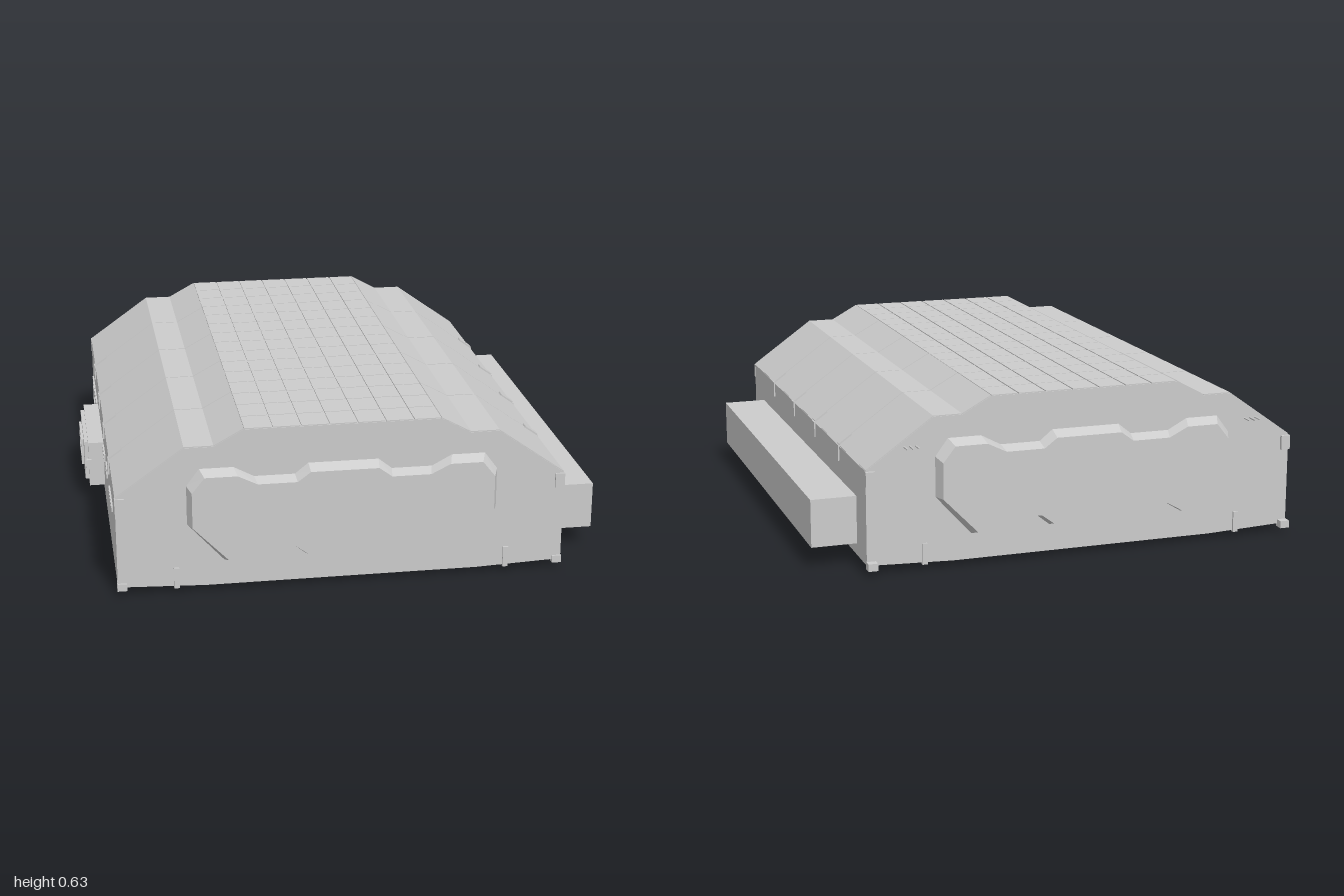
import * as THREE from 'three';

const MID = -0.042;   // centre line of the hull
const Z0 = -0.955, Z1 = 0.96;
const SEAMS = [Z0, -0.56, -0.18, 0.18, 0.56, Z1];
const mat = new THREE.MeshStandardMaterial({ color: 0xcccccc, flatShading: true });

export function createModel() {
  const root = new THREE.Group();

  const add = (name, geo, parent = root) => {
    const m = new THREE.Mesh(geo, mat);
    m.name = name;
    parent.add(m);
    return m;
  };
  // Box given by its limits on each axis
  const box = (name, x0, x1, y0, y1, z0, z1, parent = root) => {
    const m = add(name, new THREE.BoxGeometry(x1 - x0, y1 - y0, z1 - z0), parent);
    m.position.set((x0 + x1) / 2, (y0 + y1) / 2, (z0 + z1) / 2);
    return m;
  };
  const group = (name) => {
    const g = new THREE.Group();
    g.name = name;
    root.add(g);
    return g;
  };

  // Hull: half profile mirrored about the centre line, extruded front to back
  const half = [[0.365, 0.63], [0.475, 0.57], [0.583, 0.57], [0.836, 0.39]];
  const drop = 0.004;
  const right = [...half.map(([x, y]) => [x, y - drop]), [0.836, 0.035], [0.51, 0.022]];
  const outline = [...right, ...right.map(([x, y]) => [-x, y]).reverse()];
  const hullShape = new THREE.Shape(outline.map(([x, y]) => new THREE.Vector2(x + MID, y)));
  const hull = add('hull', new THREE.ExtrudeGeometry(hullShape, { depth: Z1 - Z0, bevelEnabled: false }));
  hull.position.z = Z0;

  // Thin panels laid on one facet of the profile, split by narrow seams
  const panels = (name, a, b, across, zs) => {
    const g = group(name);
    const dx = b[0] - a[0], dy = b[1] - a[1];
    const len = Math.hypot(dx, dy), ang = Math.atan2(dy, dx);
    const gap = 0.005, thick = 0.006;
    for (let i = 0; i < across; i++) {
      for (let k = 0; k + 1 < zs.length; k++) {
        const t = (i + 0.5) / across;
        const w = len / across - (across > 1 ? gap : 0);
        const m = add('panel', new THREE.BoxGeometry(w, thick, zs[k + 1] - zs[k] - gap), g);
        m.position.set(
          MID + a[0] + dx * t + Math.sin(ang) * thick / 2,
          a[1] + dy * t - Math.cos(ang) * thick / 2,
          (zs[k] + zs[k + 1]) / 2);
        m.rotation.z = ang;
      }
    }
  };
  const rows = Array.from({ length: 16 }, (_, i) => Z0 + (Z1 - Z0) * i / 15);
  panels('roofTiles', [-0.365, 0.63], [0.365, 0.63], 7, rows);
  const facetNames = ['roofBevel', 'shoulder', 'sideSlope'];
  for (let i = 0; i < 3; i++) {
    const [a, b] = [half[i], half[i + 1]];
    panels(facetNames[i], a, b, 1, SEAMS);
    panels(facetNames[i], [-b[0], b[1]], [-a[0], a[1]], 1, SEAMS);
  }

  // End plates: wavy outline tapering outward, with rectangular recesses
  const plateHalf = [
    [0.13, 0.485], [0.18, 0.445], [0.33, 0.445], [0.405, 0.485], [0.53, 0.485], [0.578, 0.42],
    [0.578, 0.27], [0.443, 0.12], [0.39, 0.125], [0.325, 0.165], [0.19, 0.165], [0.14, 0.125]];
  const endPlate = (name, holes) => {
    const pts = [...plateHalf, ...plateHalf.map(([x, y]) => [-x, y]).reverse()];
    const shape = new THREE.Shape(pts.map(([x, y]) => new THREE.Vector2(x, y)));
    for (const [x0, x1, y0, y1] of holes) {
      shape.holes.push(new THREE.Path([[x0, y0], [x0, y1], [x1, y1], [x1, y0]]
        .map(([x, y]) => new THREE.Vector2(x, y))));
    }
    const geo = new THREE.ExtrudeGeometry(shape, { depth: 0.042, bevelEnabled: false });
    const p = geo.attributes.position;
    for (let i = 0; i < p.count; i++) {
      if (p.getZ(i) > 0.02) p.setXY(i, p.getX(i) * 0.97, 0.26 + (p.getY(i) - 0.26) * 0.9);
    }
    geo.computeVertexNormals();
    const m = add(name, geo);
    m.position.set(MID, 0, Z1 - 0.002);
    return m;
  };
  endPlate('frontPlate', [[-0.335, 0.335, 0.295, 0.395]]);
  const back = endPlate('backPlate', [[-0.31, -0.12, 0.32, 0.4], [-0.045, 0.09, 0.32, 0.4], [0.145, 0.345, 0.32, 0.4]]);
  back.rotation.y = Math.PI;
  back.position.z = Z0 - 0.003;

  // Long equipment box on the left flank
  box('sideBox', 0.78, 0.965, 0.08, 0.26, -0.82, 0.785);

  // Stepped hatch on the right flank
  const hatch = group('sideHatch');
  box('hatchBase', -0.94, -0.87, 0.075, 0.26, -0.42, 0.05, hatch);
  box('hatchStep', -0.955, -0.93, 0.09, 0.25, -0.38, 0.01, hatch);
  for (const y of [0.115, 0.205]) box('hatchRail', -0.965, -0.95, y, y + 0.02, -0.31, -0.09, hatch);
  for (const z of [-0.31, -0.11]) box('hatchPost', -0.965, -0.95, 0.115, 0.225, z, z + 0.02, hatch);
  box('hatchHandle', -0.962, -0.95, 0.15, 0.185, -0.26, -0.14, hatch);
  box('hatchLatch', -0.95, -0.93, 0.15, 0.19, 0.04, 0.06, hatch);

  // Framed port bay and small ports along the right flank
  const frame = (name, y0, y1, z0, z1) => {
    const g = group(name), t = 0.008;
    for (const y of [y0, y1 - t]) box('frameRail', -0.884, -0.87, y, y + t, z0, z1, g);
    for (const z of [z0, z1 - t]) box('framePost', -0.884, -0.87, y0, y1, z, z + t, g);
    return g;
  };
  const bay = frame('portBay', 0.14, 0.25, -0.83, -0.47);
  for (let i = 0; i < 3; i++) {
    const z = -0.79 + i * 0.105;
    box('port', -0.883, -0.87, 0.175, 0.215, z, z + 0.075, bay);
  }
  frame('smallPort', 0.24, 0.27, 0.1, 0.22);
  frame('smallPort', 0.25, 0.29, 0.34, 0.42);
  frame('smallPort', 0.26, 0.285, 0.58, 0.78);

  for (const s of [-1, 1]) {
    // Clips folded over the shoulder at every seam
    for (const z of SEAMS.slice(1, -1)) {
      const x = MID + s * 0.836;
      box('clip', x - 0.005, x + 0.005, 0.33, 0.39, z - 0.018, z + 0.018);
      const fold = box('clipFold', -0.03, 0.03, -0.005, 0.005, z - 0.018, z + 0.018);
      fold.position.set(x - s * 0.025, 0.409, z);
      fold.rotation.z = -s * 0.618;
    }
    // Corner brackets, feet and end latches
    for (const [z, e] of [[Z0, -1], [Z1, 1]]) {
      const x = MID + s * 0.82;
      box('cornerBracket', x - 0.018, x + 0.018, 0.33, 0.385, z - 0.012, z + 0.008);
      box('cornerFoot', x - 0.018, x + 0.018, 0.022, 0.05, z - 0.03, z + 0.008);
      const l = MID + s * 0.62;
      box('endLatch', l - 0.01, l + 0.01, 0.02, 0.1, z - 0.008, z + 0.008);
    }
    // Cluster of rear pins
    for (let i = -1; i <= 1; i++) {
      const pin = add('rearPin', new THREE.CylinderGeometry(0.004, 0.004, 0.05, 6));
      pin.rotation.x = Math.PI / 2;
      pin.position.set(MID + s * 0.67 + i * 0.022, 0.465, Z0 - 0.02);
    }
    // Underside studs and pegs
    for (let i = 0; i < 9; i++) {
      const z = -0.8 + i * 0.2, x = MID + s * 0.6;
      box('stud', x - 0.014, x + 0.014, 0.015, 0.035, z - 0.014, z + 0.014);
    }
    const peg = add('peg', new THREE.CylinderGeometry(0.005, 0.005, 0.03, 8));
    peg.position.set(MID + s * 0.51, 0.015, -0.55);
  }

  // Underside: thin plate edges and cross ribs
  const under = group('underside');
  for (const s of [-1, 1]) {
    for (const e of [-1, 1]) {
      box('longRib', MID + s * 0.47 - 0.01, MID + s * 0.47 + 0.01, 0.014, 0.026,
        e * 0.55 - 0.28, e * 0.55 + 0.28, under);
      const diag = box('diagonalRib', -0.06, 0.06, 0.014, 0.026, -0.008, 0.008, under);
      diag.position.set(MID + s * 0.43, 0.02, e * 0.23);
      diag.rotation.y = s * e * 0.8;
    }
    box('crossRib', MID - 0.3, MID + 0.3, 0.014, 0.026, s * 0.62 - 0.008, s * 0.62 + 0.008, under);
    box('innerRib', MID + s * 0.25 - 0.008, MID + s * 0.25 + 0.008, 0.014, 0.026, -0.5, 0.5, under);
  }
  box('centreRib', MID - 0.38, MID + 0.38, 0.014, 0.026, -0.01, 0.01, under);

  return root;
}
